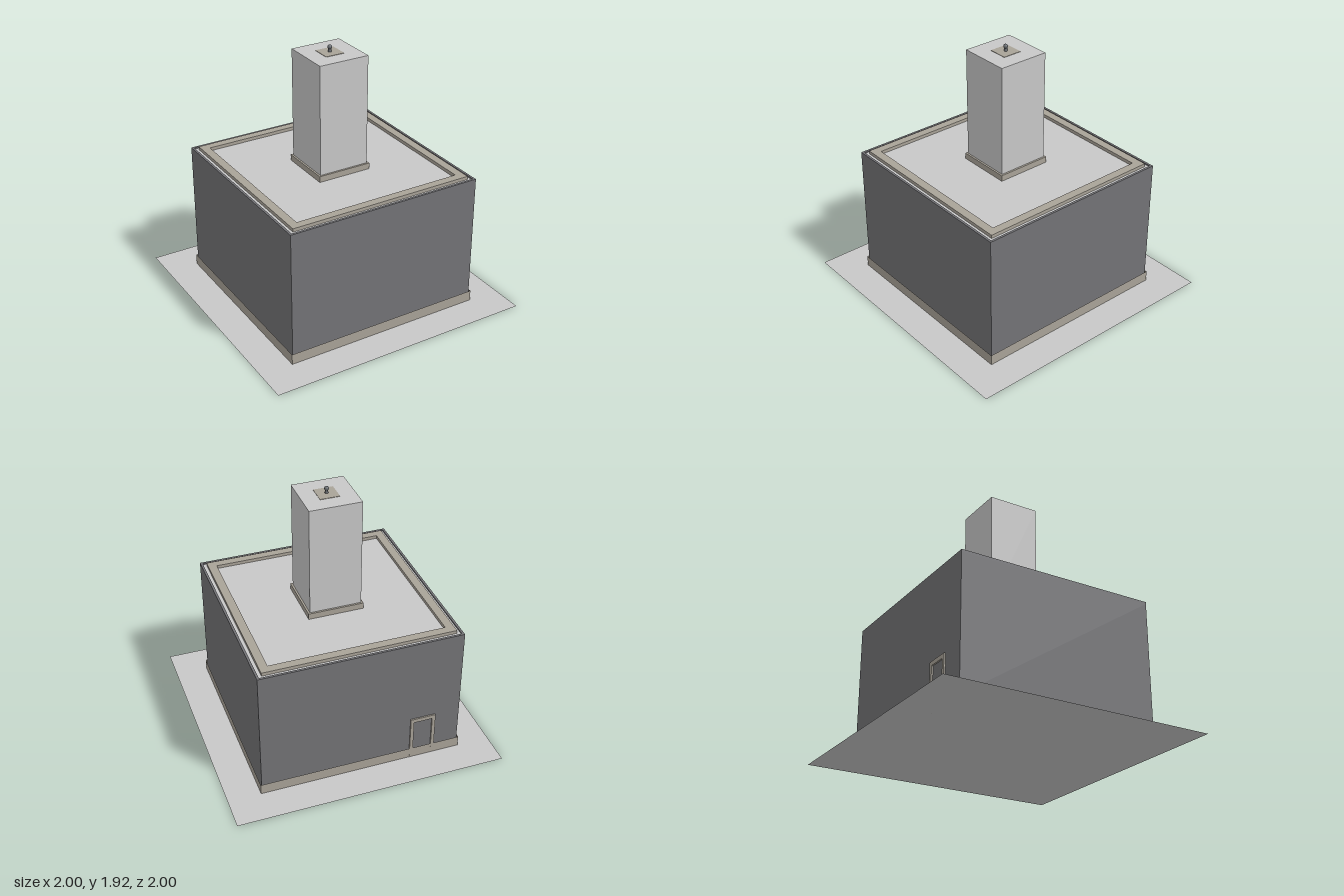
import * as THREE from 'three';

const mat = (name, color, side = THREE.FrontSide) => {
  const m = new THREE.MeshStandardMaterial({ color, side });
  m.name = name;
  return m;
};

export function createModel() {
  const model = new THREE.Group();
  const paleGrey = mat('pale concrete', 0xc8c8c8);
  const pavingGrey = mat('pale paving', 0xc8c8c8, THREE.DoubleSide);
  const charcoal = mat('charcoal wall', 0x737376);
  const stone = mat('beige stone', 0xa9a398, THREE.DoubleSide);
  const metal = mat('dark metal', 0x6a6e72);

  const add = (name, geometry, material, x = 0, y = 0, z = 0) => {
    const mesh = new THREE.Mesh(geometry, material);
    mesh.name = name;
    mesh.position.set(x, y, z);
    model.add(mesh);
    return mesh;
  };
  // Square block standing between two heights
  const block = (name, half, y0, y1, material) =>
    add(name, new THREE.BoxGeometry(half * 2, y1 - y0, half * 2), material, 0, (y0 + y1) / 2, 0);
  const square = (PathType, h) => new PathType([[-h, -h], [h, -h], [h, h], [-h, h]]
    .map(([x, y]) => new THREE.Vector2(x, y)));
  // Flat square frame with an open middle
  const frame = (name, outer, inner, y0, y1, material) => {
    const shape = square(THREE.Shape, outer);
    shape.holes.push(square(THREE.Path, inner));
    const g = new THREE.ExtrudeGeometry(shape, { depth: y1 - y0, bevelEnabled: false });
    add(name, g.rotateX(-Math.PI / 2), material, 0, y0, 0);
  };

  // Paved site
  add('ground', new THREE.PlaneGeometry(2, 2).rotateX(-Math.PI / 2), pavingGrey);

  // Main hall with an open stone skirt around its foot
  block('hall', 0.747, 0.005, 0.995, charcoal);
  const skirt = new THREE.CylinderGeometry(0.757 * Math.SQRT2, 0.757 * Math.SQRT2, 0.08, 4, 1, true)
    .rotateY(Math.PI / 4).toNonIndexed();
  skirt.computeVertexNormals();
  add('skirt', skirt, stone, 0, 0.04, 0);

  // Roof deck, dark parapet and raised stone border
  block('roofDeck', 0.735, 0.98, 1.0, paleGrey);
  frame('parapet', 0.747, 0.73, 0.99, 1.01, charcoal);
  frame('roofBorder', 0.705, 0.643, 0.998, 1.025, stone);

  // Tower with collar, cap plate and finial
  block('towerCollar', 0.206, 0.998, 1.045, stone);
  block('tower', 0.192, 1.0, 1.865, paleGrey);
  block('towerCap', 0.072, 1.863, 1.868, stone);
  add('finialStem', new THREE.CylinderGeometry(0.01, 0.013, 0.04, 12), metal, 0, 1.882, 0);
  add('finialBall', new THREE.SphereGeometry(0.016, 16, 12), metal, 0, 1.903, 0);

  // Stone door surround on the back wall
  const surround = new THREE.Shape([[-0.095, 0], [-0.07, 0], [-0.07, 0.32], [0.07, 0.32],
    [0.07, 0], [0.095, 0], [0.095, 0.35], [-0.095, 0.35]].map(([x, y]) => new THREE.Vector2(x, y)));
  add('doorSurround', new THREE.ExtrudeGeometry(surround, { depth: 0.012, bevelEnabled: false }),
    stone, -0.465, 0, -0.758);

  return model;
}
